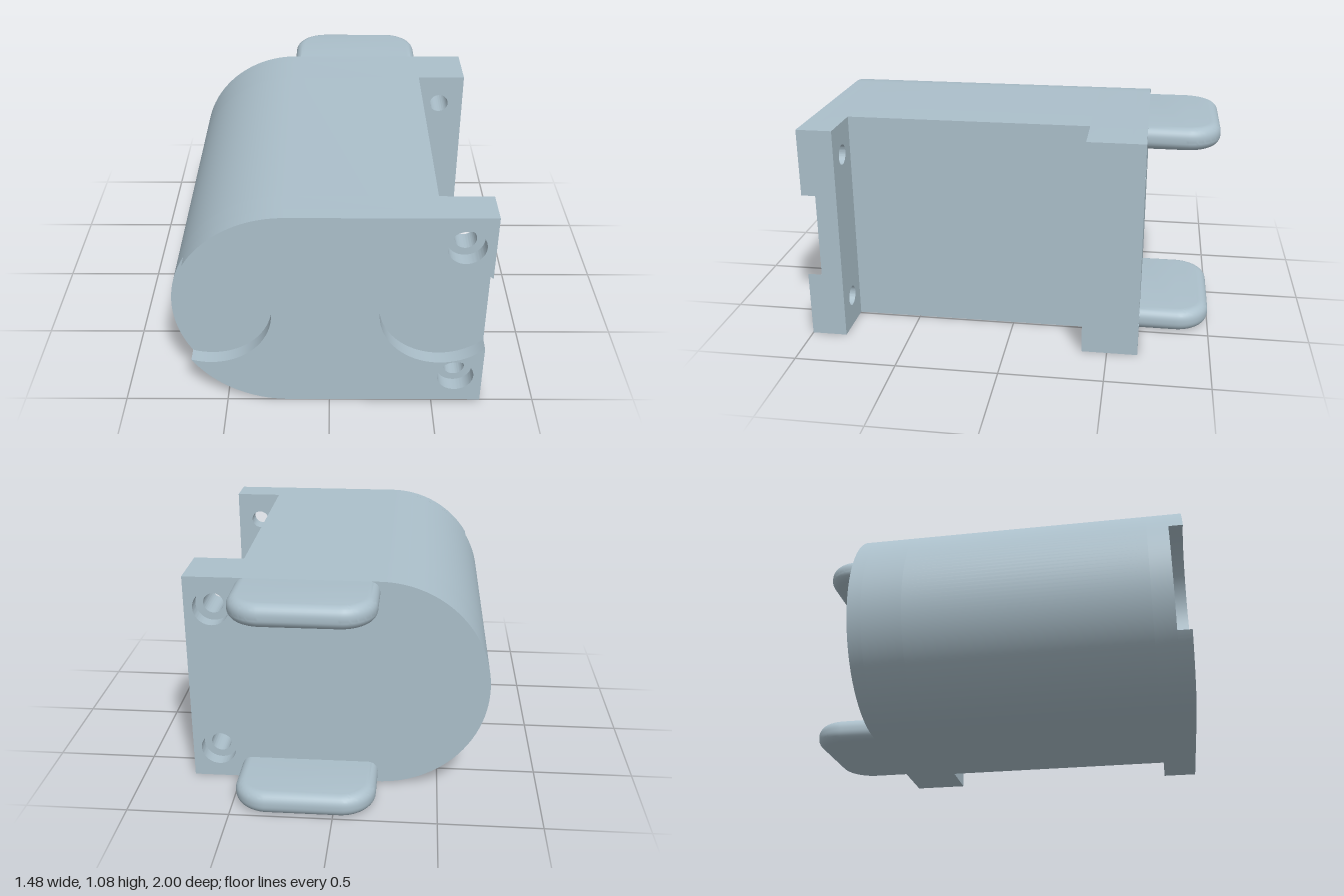
import * as THREE from 'three';
import { toCreasedNormals } from 'three/addons/utils/BufferGeometryUtils.js';

const H = 1.083, R = H / 2, CY = R;      // height, radius of the rounded side, mid height
const RIGHT = 0.74, CX = -RIGHT + R;     // flange edge, centre of the rounded side
const RECESS = 0.297, RX = 0.53, LX = -0.567; // recess radius and centres
const BOLT = { x: 0.61, ys: [0.158, 0.925], hole: 0.05, bore: 0.088 };

// D-shaped section reaching to x = right
function section(right) {
  const s = new THREE.Shape();
  s.moveTo(CX, 0);
  s.lineTo(right, 0);
  s.lineTo(right, H);
  s.lineTo(CX, H);
  s.absarc(CX, CY, R, Math.PI / 2, Math.PI * 1.5, false);
  return s;
}

// Front face section, cut by a round recess on each side
function recessedSection() {
  const t = Math.acos((RIGHT - RX) / RECESS);
  const d = CX - LX;
  const a = (d * d + R * R - RECESS * RECESS) / (2 * d);
  const h = Math.sqrt(R * R - a * a);
  const outer = Math.atan2(h, a), inner = Math.atan2(h, d - a);
  const s = new THREE.Shape();
  s.moveTo(CX, 0);
  s.lineTo(RIGHT, 0);
  s.absarc(RX, CY, RECESS, -t, t, true);
  s.lineTo(RIGHT, H);
  s.lineTo(CX, H);
  s.absarc(CX, CY, R, Math.PI / 2, Math.PI - outer, false);
  s.absarc(LX, CY, RECESS, inner, -inner, true);
  s.absarc(CX, CY, R, Math.PI + outer, Math.PI * 1.5, false);
  return s;
}

function withHoles(shape, radius) {
  for (const y of BOLT.ys) {
    shape.holes.push(new THREE.Path().absarc(BOLT.x, y, radius, 0, Math.PI * 2, true));
  }
  return shape;
}

export function createModel() {
  const group = new THREE.Group();
  const material = new THREE.MeshStandardMaterial({ color: 0xabbfca });
  material.name = 'blue grey';

  const add = (name, geometry) => {
    const mesh = new THREE.Mesh(toCreasedNormals(geometry, 0.6), material);
    mesh.name = name;
    group.add(mesh);
    return mesh;
  };
  const slab = (name, shape, z0, z1) => {
    const g = new THREE.ExtrudeGeometry(shape, { depth: z1 - z0, bevelEnabled: false, curveSegments: 40 });
    add(name, g.translate(0, 0, z0));
  };

  // Housing, layered front to back
  slab('recessedFrontFace', withHoles(recessedSection(), BOLT.bore), 0.93, 1);
  slab('frontFlange', withHoles(section(RIGHT), BOLT.hole), 0.825, 0.93);
  slab('body', section(0.49), -0.375, 0.825);
  slab('backFlange', withHoles(section(RIGHT), BOLT.hole), -0.58, -0.375);
  slab('backFace', withHoles(section(RIGHT), BOLT.bore), -0.65, -0.58);

  // Rounded tabs at the back; the bevelled root is buried in the housing
  const b = 0.05, thick = 0.113, c = 0.12;
  const x0 = -0.2 + b, x1 = 0.49 - b, back = 1 - b, root = 0.65;
  const tab = new THREE.Shape();
  tab.moveTo(x0, root);
  tab.lineTo(x1, root);
  tab.lineTo(x1, back - c);
  tab.absarc(x1 - c, back - c, c, 0, Math.PI / 2, false);
  tab.lineTo(x0 + c, back);
  tab.absarc(x0 + c, back - c, c, Math.PI / 2, Math.PI, false);
  for (const [name, y] of [['lowerTab', 0], ['upperTab', H - thick]]) {
    const g = new THREE.ExtrudeGeometry(tab, {
      depth: thick - 2 * b, bevelThickness: b, bevelSize: b, bevelSegments: 8, curveSegments: 14,
    });
    g.rotateX(-Math.PI / 2);
    add(name, g.translate(0, y + b, 0));
  }
  return group;
}
